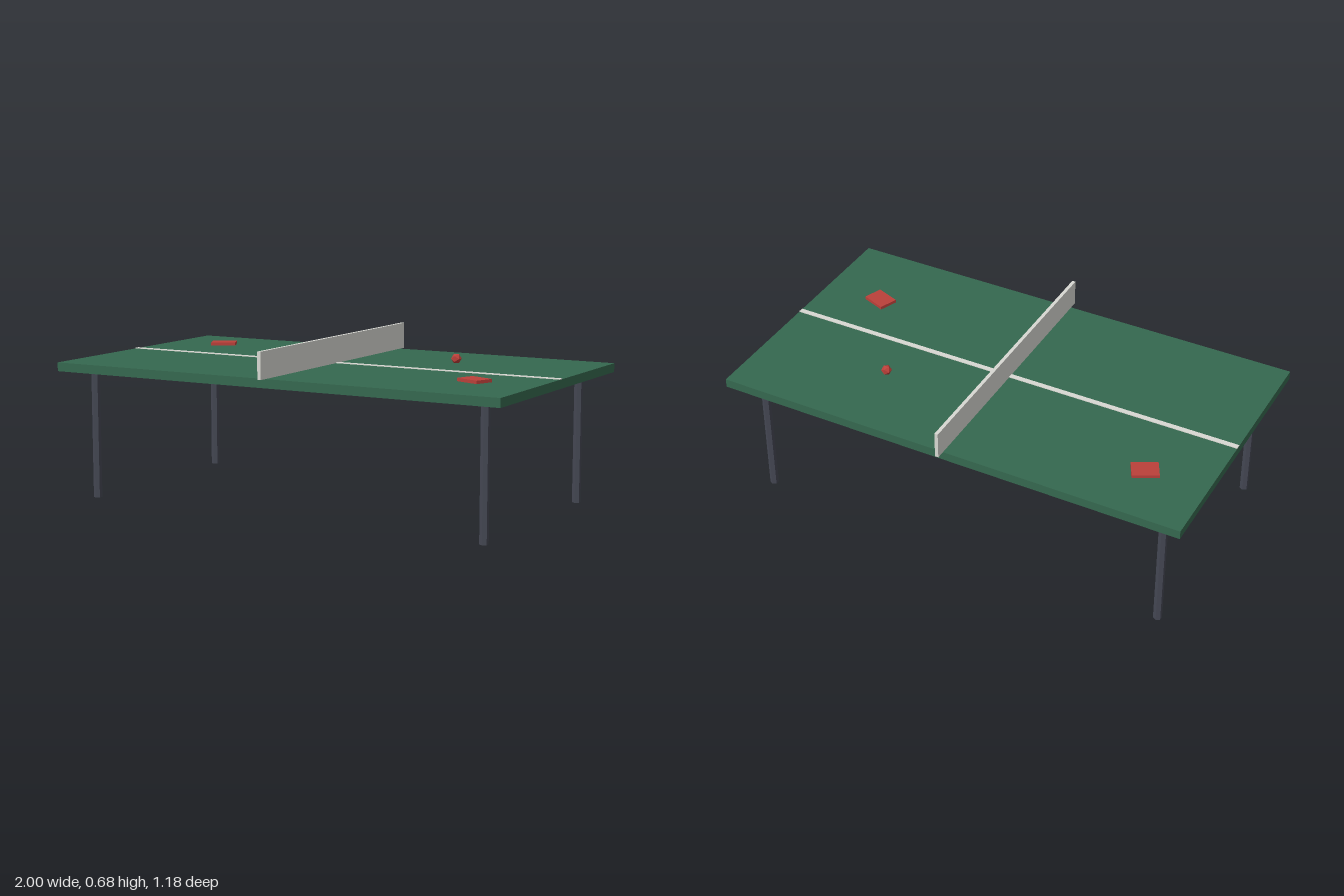
import * as THREE from 'three';

const mat = (name, color) => {
  const m = new THREE.MeshStandardMaterial({ color });
  m.name = name;
  return m;
};

export function createModel() {
  const green = mat('tableGreen', 0x35684f);
  const steel = mat('legGrey', 0x454854);
  const white = mat('lineWhite', 0xd8d8d2);
  const red = mat('paddleRed', 0xbb403a);

  const model = new THREE.Group();
  model.name = 'tableTennisTable';

  const add = (name, geometry, material, x, y, z, turn = 0) => {
    const mesh = new THREE.Mesh(geometry, material);
    mesh.name = name;
    mesh.position.set(x, y, z);
    mesh.rotation.y = turn;
    model.add(mesh);
    return mesh;
  };
  const box = (w, h, d) => new THREE.BoxGeometry(w, h, d);

  // Table top, with its upper face at y = top
  const top = 0.573, thick = 0.0365;
  add('tableTop', box(2, thick, 1.113), green, 0, top - thick / 2, 0);

  // Painted centre line and the net across the middle
  add('centreLine', box(2, 0.003, 0.022), white, 0, top + 0.0015, 0);
  add('net', box(0.0146, 0.11, 1.185), white, 0, top + 0.055, 0);

  // Four six-sided legs
  const legHeight = top - thick;
  const legGeometry = new THREE.CylinderGeometry(0.0178, 0.0178, legHeight, 6).toNonIndexed();
  legGeometry.computeVertexNormals();
  for (const sx of [-1, 1]) {
    for (const sz of [-1, 1]) {
      const name = (sz > 0 ? 'front' : 'back') + (sx > 0 ? 'Left' : 'Right') + 'Leg';
      add(name, legGeometry, steel, sx * 0.89, legHeight / 2, sz * 0.446);
    }
  }

  // Two paddles lying flat, and the ball
  const paddle = box(0.107, 0.013, 0.081);
  add('rightPaddle', paddle, red, -0.742, top + 0.0065, -0.3, 0.48);
  add('leftPaddle', paddle, red, 0.737, top + 0.0065, 0.222, -0.36);
  add('ball', new THREE.IcosahedronGeometry(0.022, 0), red, 0.443, 0.594, -0.222);

  return model;
}
